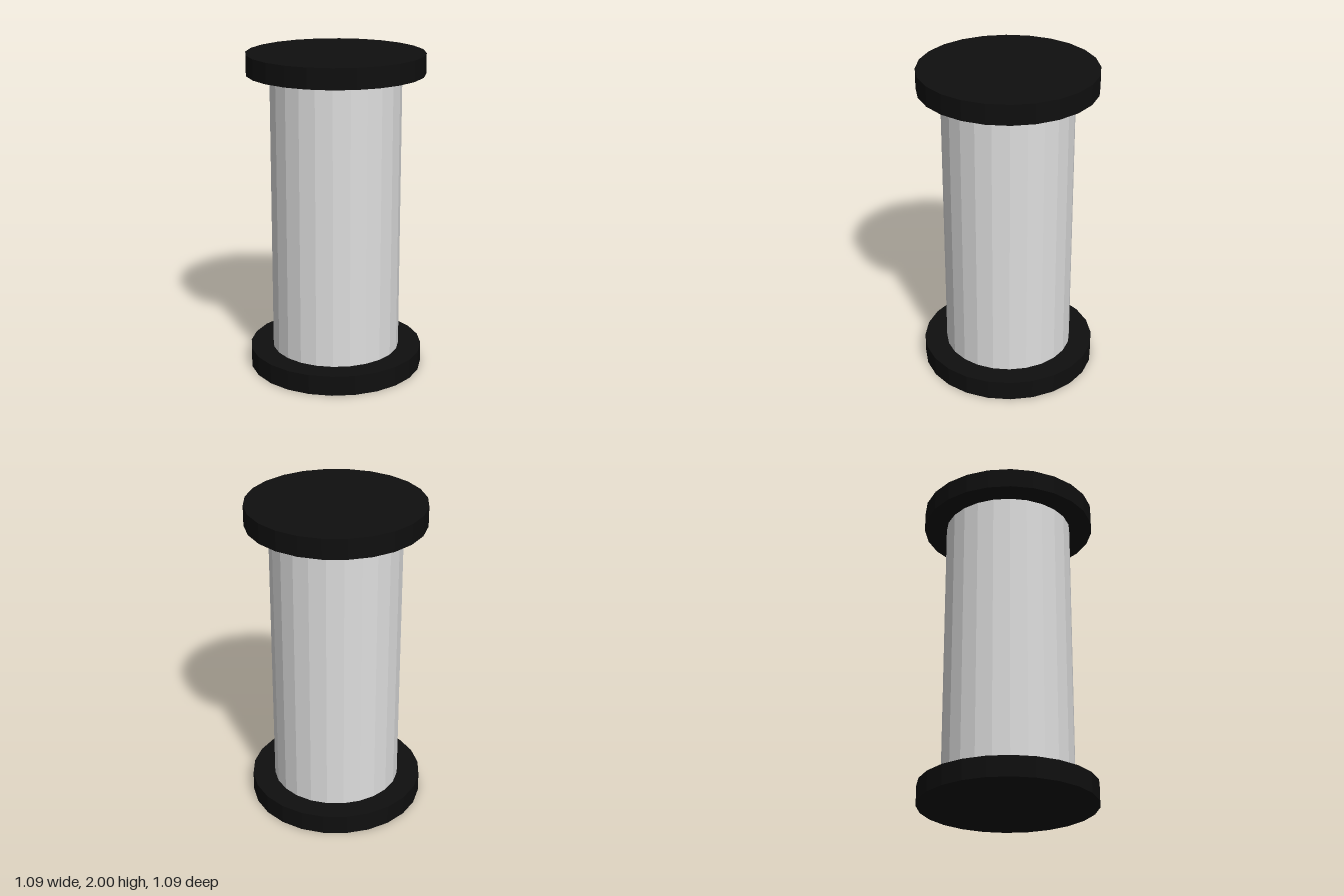
import * as THREE from 'three';

const SIDES = 24;

export function createModel() {
  const model = new THREE.Group();
  model.name = 'spool';

  const black = new THREE.MeshStandardMaterial({ color: 0x0f0f0f, flatShading: true });
  black.name = 'black';
  const lightGrey = new THREE.MeshStandardMaterial({ color: 0xdedede, flatShading: true });
  lightGrey.name = 'light grey';

  // Upright faceted disc or column, placed by its bottom and top heights
  function addCylinder(name, radius, bottom, top, material, open = false) {
    const geometry = new THREE.CylinderGeometry(radius, radius, top - bottom, SIDES, 1, open);
    const mesh = new THREE.Mesh(geometry, material);
    mesh.name = name;
    mesh.position.y = (bottom + top) / 2;
    model.add(mesh);
  }

  // End discs
  addCylinder('bottomCap', 0.545, 0, 0.125, black);
  addCylinder('topCap', 0.545, 1.875, 2, black);

  // Column between the discs; its ends are hidden by them
  addCylinder('column', 0.402, 0.125, 1.875, lightGrey, true);

  return model;
}
